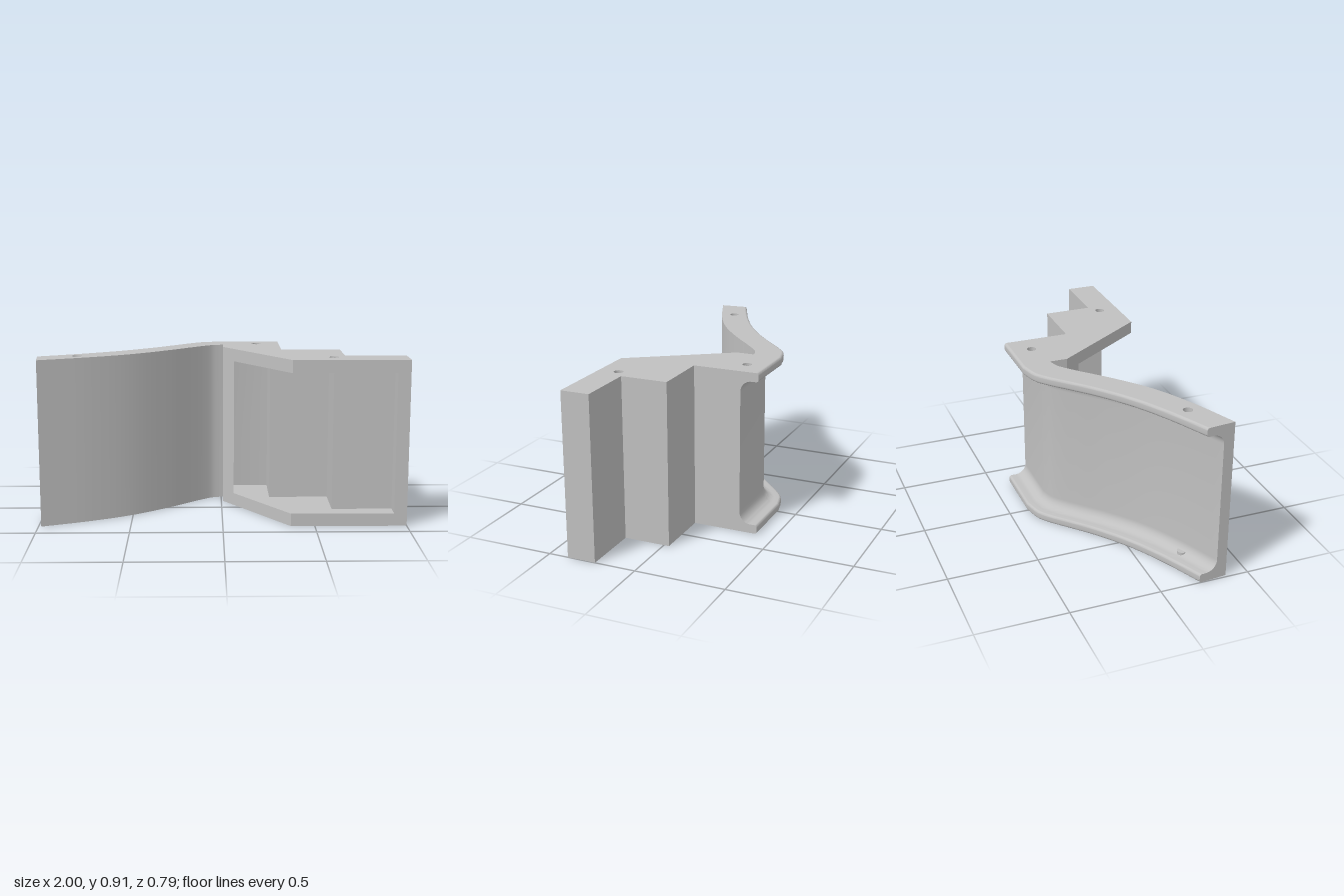
import * as THREE from 'three';
import { toCreasedNormals } from 'three/addons/utils/BufferGeometryUtils.js';

const H = 0.91, T = 0.163, RIM = 0.07, HOLE_R = 0.026, HOLE_DEPTH = 0.05;

export function createModel() {
  const grey = new THREE.MeshStandardMaterial({ color: 0xc0c0c0, side: THREE.DoubleSide });
  grey.name = 'plain grey';
  const group = new THREE.Group();
  group.name = 'bracket';
  const add = (name, geometry, y = 0) => {
    const mesh = new THREE.Mesh(geometry, grey);
    mesh.name = name;
    mesh.position.y = y;
    group.add(mesh);
    return mesh;
  };

  // Plan outlines are given as [x, z]
  const planShape = (pts, holes = []) => {
    const shape = new THREE.Shape(pts.map(([x, z]) => new THREE.Vector2(x, -z)));
    for (const [x, z] of holes) {
      const path = new THREE.Path();
      path.absarc(x, -z, HOLE_R, 0, Math.PI * 2, true);
      shape.holes.push(path);
    }
    return shape;
  };
  const prism = (name, pts, y0, y1, holes) => add(name,
    new THREE.ExtrudeGeometry(planShape(pts, holes), { depth: y1 - y0, bevelEnabled: false, curveSegments: 24 })
      .rotateX(-Math.PI / 2), y0);

  // Stations along the curved wall: matching back and front points
  const curve = (pts) => new THREE.CatmullRomCurve3(pts.map(([x, z]) => new THREE.Vector3(x, 0, z)));
  const back = curve([[-1, 0.22], [-0.77, 0.115], [-0.58, 0.01], [-0.4, -0.12],
    [-0.27, -0.235], [-0.18, -0.318], [-0.11, -0.368], [0, -0.398]]);
  const front = curve([[-0.985, 0.378], [-0.71, 0.265], [-0.49, 0.145], [-0.3, -0.005],
    [-0.165, -0.13], [-0.09, -0.195], [-0.05, -0.222], [0, -0.237]]);
  const stations = [];
  for (let i = 0; i <= 42; i++) stations.push([back.getPoint(i / 42), front.getPoint(i / 42)]);
  stations.push([new THREE.Vector3(0.335, 0, -0.398), new THREE.Vector3(0.335, 0, -0.237)]);

  // C-shaped cross-section [depth from back, y] with rounded lips and fillets
  const half = [[T, 0]];
  const arc = (cx, cy, r, a0, a1, n) => {
    for (let i = 0; i <= n; i++) {
      const a = a0 + (a1 - a0) * i / n;
      half.push([cx + r * Math.cos(a), cy + r * Math.sin(a)]);
    }
  };
  arc(0.014, 0.014, 0.014, -Math.PI / 2, -Math.PI, 5);
  arc(0.014, 0.036, 0.014, Math.PI, Math.PI / 2, 5);
  arc(0.04, 0.113, 0.063, -Math.PI / 2, 0, 10);
  const profile = [...half, ...half.map(([d, y]) => [d, H - y]).reverse()];

  const at = ([b, f], [d, y]) => {
    const p = b.clone().lerp(f, d / T);
    return [p.x, y, p.z];
  };
  const verts = [];
  const n = profile.length;
  for (let i = 0; i < stations.length - 1; i++) {
    for (let k = 0; k < n; k++) {
      if (k === 0 || k === n - 2) continue; // level faces are the drilled plates below
      const k2 = (k + 1) % n;
      const a = at(stations[i], profile[k]), b = at(stations[i], profile[k2]);
      const c = at(stations[i + 1], profile[k]), d = at(stations[i + 1], profile[k2]);
      verts.push(...a, ...b, ...c, ...b, ...d, ...c);
    }
  }
  // Both ends of the channel
  const tris = THREE.ShapeUtils.triangulateShape(profile.map(([d, y]) => new THREE.Vector2(d, y)), []);
  for (const s of [stations[0], stations[stations.length - 1]])
    for (const t of tris) for (const k of t) verts.push(...at(s, profile[k]));
  const wall = new THREE.BufferGeometry();
  wall.setAttribute('position', new THREE.Float32BufferAttribute(verts, 3));
  add('curvedChannelWall', toCreasedNormals(wall, 0.5));

  // Level top and bottom faces of the wall, with pin holes
  const wallHoles = [[-0.785, 0.215], [0.205, -0.28]];
  const blockHoles = [[0.6, 0.28]];
  const edge = (s, d) => { const p = at(s, [d, 0]); return [p[0], p[2]]; };
  const outline = [...stations.map((s) => edge(s, 0.014)), ...stations.map((s) => edge(s, T)).reverse()];
  const plate = () => new THREE.ShapeGeometry(planShape(outline, wallHoles), 24);
  add('wallTop', plate().rotateX(-Math.PI / 2), H);
  const under = plate().rotateX(-Math.PI / 2);
  const index = under.index.array;
  for (let i = 0; i < index.length; i += 3) [index[i], index[i + 1]] = [index[i + 1], index[i]];
  const normals = under.attributes.normal;
  for (let i = 0; i < normals.count; i++) normals.setY(i, -1);
  add('wallUnderside', under);

  // Stepped block: two drilled end caps and the walls around its open pocket
  const block = [[0.01, -0.237], [0.335, -0.237], [0.335, -0.03], [0.665, -0.03], [0.665, 0.23],
    [1, 0.23], [1, 0.39], [0.37, 0.39], [0.01, -0.14]];
  prism('blockBottom', block, 0, RIM, blockHoles);
  prism('blockTop', block, H - RIM, H, blockHoles);
  prism('steppedWall', [[0.27, -0.237], [0.335, -0.237], [0.335, -0.03], [0.665, -0.03], [0.665, 0.23],
    [1, 0.23], [1, 0.39], [0.93, 0.39], [0.93, 0.295], [0.6, 0.295], [0.6, 0.035], [0.27, 0.035]], RIM, H - RIM);
  prism('pocketSideWall', [[0.01, -0.237], [0.07, -0.237], [0.07, -0.052], [0.01, -0.14]], RIM, H - RIM);

  // Blind pin holes: lining and floor at both ends
  for (const [x, z] of [...wallHoles, ...blockHoles]) {
    for (const top of [false, true]) {
      const place = (name, geometry, y) => add(name, geometry, top ? H - y : y).position.set(x, top ? H - y : y, z);
      place('pinHoleLining', new THREE.CylinderGeometry(HOLE_R, HOLE_R, HOLE_DEPTH, 24, 1, true), HOLE_DEPTH / 2);
      place('pinHoleFloor', new THREE.CylinderGeometry(HOLE_R, HOLE_R, RIM - HOLE_DEPTH, 24), (HOLE_DEPTH + RIM) / 2);
    }
  }
  return group;
}
